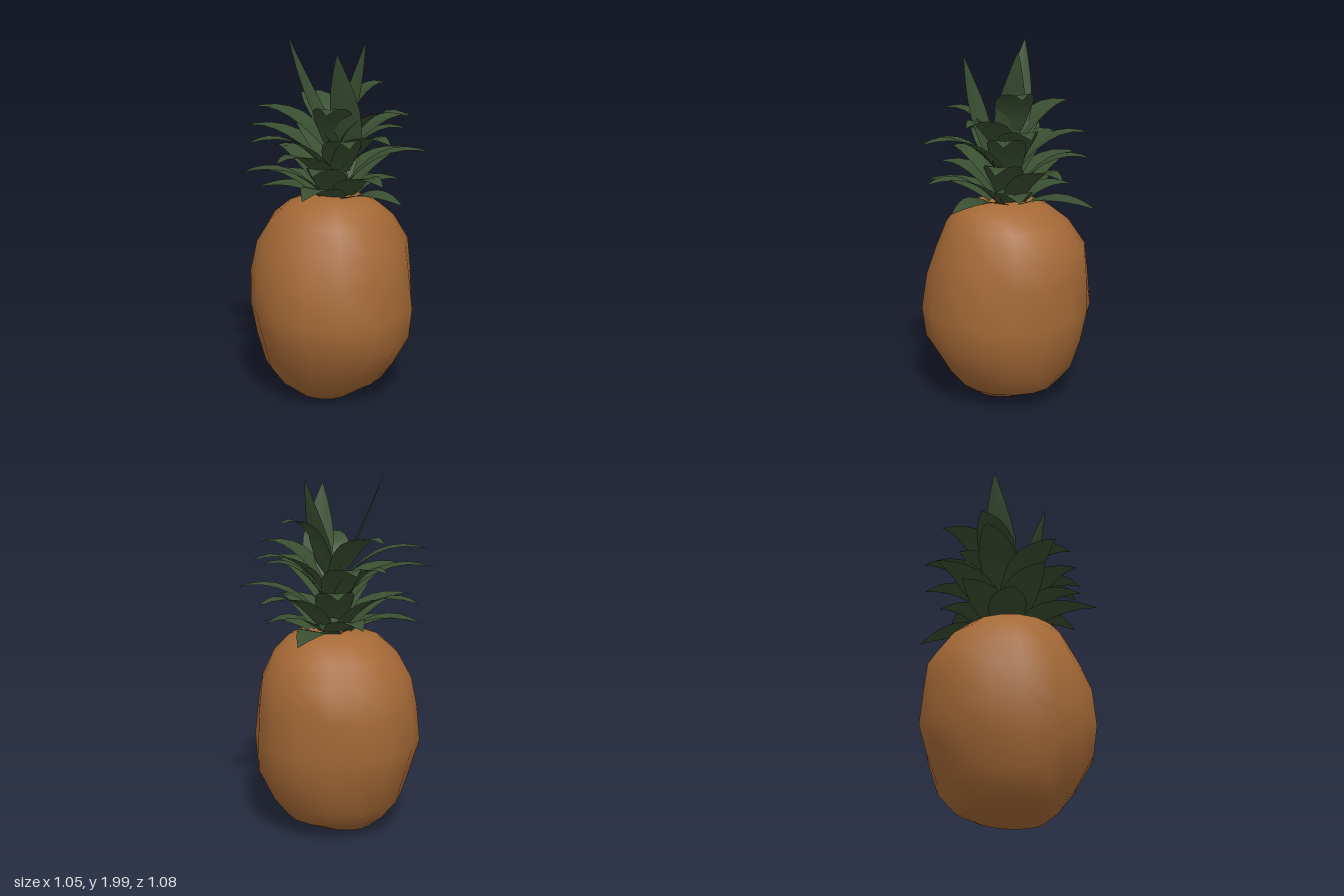
import * as THREE from 'three';
import { mergeVertices } from 'three/addons/utils/BufferGeometryUtils.js';

const fruitSkin = new THREE.MeshStandardMaterial({ color: 0xa56936 });
const leafGreen = new THREE.MeshStandardMaterial({ color: 0x3b5033, side: THREE.DoubleSide });
fruitSkin.name = 'fruit skin';
leafGreen.name = 'leaf green';

// Fruit: lathe whose rings are shifted and stretched to a slightly lopsided shape.
// Each ring: y, left x, right x, back z, front z
const RINGS = [
  [0.01, -0.23, 0.12, -0.19, 0.17],
  [0.08, -0.32, 0.27, -0.28, 0.26],
  [0.19, -0.40, 0.34, -0.37, 0.35],
  [0.36, -0.45, 0.41, -0.43, 0.45],
  [0.52, -0.48, 0.43, -0.475, 0.455],
  [0.72, -0.475, 0.42, -0.46, 0.44],
  [0.88, -0.43, 0.405, -0.44, 0.40],
  [1.02, -0.36, 0.32, -0.34, 0.335],
  [1.10, -0.28, 0.22, -0.24, 0.28],
  [1.14, -0.16, 0.13, -0.15, 0.18],
];

function makeFruit() {
  const profile = [
    new THREE.Vector2(0, 0),
    ...RINGS.map(([y]) => new THREE.Vector2(1, y)),
    new THREE.Vector2(0, 1.15),
  ];
  const lathe = new THREE.LatheGeometry(profile, 16);
  const pos = lathe.attributes.position;
  const rows = profile.length;
  for (let i = 0; i < pos.count; i++) {
    const row = i % rows;
    const seg = Math.floor(i / rows) % 16;
    const [y, x0, x1, z0, z1] = RINGS[Math.min(Math.max(row - 1, 0), RINGS.length - 1)];
    // Small bumps, and one broad bulge on the front right at mid height
    const bulge = Math.max(0, Math.cos((seg - 14) * Math.PI / 8)) ** 6 * Math.max(0, 1 - Math.abs(y - 0.5) / 0.35);
    const bump = 1 + 0.075 * bulge
      + 0.014 * Math.sin(seg * 2.4 + row * 1.9) * Math.abs(Math.sin(seg * Math.PI / 4));
    const x = (x0 + x1) / 2 + pos.getX(i) * bump * (x1 - x0) / 2;
    const z = (z0 + z1) / 2 + pos.getZ(i) * bump * (z1 - z0) / 2;
    // The underside rises a little towards the left
    const lift = Math.max(0, 0.15 - y) * 0.5 * Math.max(0, x + 0.13);
    pos.setXYZ(i, x, pos.getY(i) + lift, z);
  }
  lathe.deleteAttribute('uv');
  lathe.deleteAttribute('normal');
  const geometry = mergeVertices(lathe, 1e-4);
  geometry.computeVertexNormals();
  return new THREE.Mesh(geometry, fruitSkin);
}

// Pointed, slightly cupped leaf that follows a curve from the stem to its tip
function makeLeaf(base, bend, tip, side, width) {
  const curve = new THREE.QuadraticBezierCurve3(base, bend, tip);
  const rows = 7;
  const positions = [];
  const index = [];
  for (let i = 0; i <= rows; i++) {
    const t = i / rows;
    const p = curve.getPoint(t);
    const normal = curve.getTangent(t).cross(side);
    const half = t < 0.4
      ? width * (0.32 + 0.18 * Math.sin(t / 0.4 * Math.PI / 2))
      : width * 0.5 * (1 - ((t - 0.4) / 0.6) ** 1.45);
    for (let j = -1; j <= 1; j++) {
      const v = p.clone().addScaledVector(side, j * half);
      if (j !== 0) v.addScaledVector(normal, half * 0.1);
      positions.push(v.x, v.y, v.z);
    }
    if (i === rows) continue;
    for (let j = 0; j < 2; j++) {
      const a = i * 3 + j;
      index.push(a, a + 3, a + 1, a + 1, a + 3, a + 4);
    }
  }
  const geometry = new THREE.BufferGeometry();
  geometry.setAttribute('position', new THREE.Float32BufferAttribute(positions, 3));
  geometry.setIndex(index);
  geometry.computeVertexNormals();
  return new THREE.Mesh(geometry, leafGreen);
}

// Tips of the arching leaves: x, y, z
const ARCHING_TIPS = [
  // lowest tier
  [-0.255, 1.21, -0.44], [-0.39, 1.17, -0.22], [-0.385, 1.21, 0.355],
  [0.17, 1.14, 0.425], [0.46, 1.15, -0.28], [0.1, 1.2, -0.37], [0.36, 1.2, 0.12],
  // second tier
  [-0.14, 1.34, -0.54], [-0.525, 1.29, -0.1], [-0.305, 1.32, 0.31], [0.005, 1.27, 0.5],
  [0.43, 1.38, 0.3], [0.525, 1.34, -0.04], [0.27, 1.38, -0.37], [-0.445, 1.38, 0.175],
  // third tier
  [-0.405, 1.49, -0.39], [-0.52, 1.46, -0.02], [-0.15, 1.47, 0.43], [0.03, 1.49, 0.535],
  [0.335, 1.5, 0.205], [0.19, 1.5, -0.425], [-0.08, 1.48, -0.36],
  // top tier
  [-0.36, 1.59, -0.39], [-0.22, 1.63, 0.31], [0.24, 1.6, 0.37],
  [0.46, 1.55, 0.11], [0, 1.65, -0.42], [0.3, 1.73, 0.075],
];
// Upright leaves: tip, lean direction in radians (from +x towards +z), outward reach
const UPRIGHT_LEAVES = [
  [[-0.19, 2, -0.2], -2.33, 0.28],
  [[-0.11, 1.93, 0.215], 2.53, 0.16],
  [[0.165, 1.97, 0.03], 0.03, 0.17],
];

export function createModel() {
  const model = new THREE.Group();
  model.name = 'pineapple';

  const fruit = makeFruit();
  fruit.name = 'fruit';
  model.add(fruit);

  const crown = new THREE.Group();
  crown.name = 'crown';
  model.add(crown);

  const stem = new THREE.Mesh(new THREE.CylinderGeometry(0.03, 0.09, 0.3, 10), leafGreen);
  stem.name = 'stem';
  stem.position.y = 1.26;
  crown.add(stem);

  // Adds a leaf that leans in one direction; base and bend are set back from the tip
  function addLeaf(name, [x, y, z], angle, reach, baseY, bendBack, bendY, width) {
    const cos = Math.cos(angle), sin = Math.sin(angle);
    const behindTip = (distance, height) => new THREE.Vector3(x - cos * distance, height, z - sin * distance);
    const side = new THREE.Vector3(sin, 0, -cos);
    const leaf = makeLeaf(behindTip(reach, baseY), behindTip(reach * bendBack, bendY), behindTip(0, y), side, width);
    leaf.name = name;
    crown.add(leaf);
  }
  for (const tip of ARCHING_TIPS) {
    const [x, y, z] = tip;
    addLeaf('archingLeaf', tip, Math.atan2(z, x), Math.hypot(x, z) - 0.04, Math.max(1.1, y - 0.2), 0.55, y + 0.08, 0.21);
  }
  for (const [tip, angle, reach] of UPRIGHT_LEAVES) {
    addLeaf('uprightLeaf', tip, angle, reach, 1.4, 0.38, 1.66, 0.18);
  }
  return model;
}
